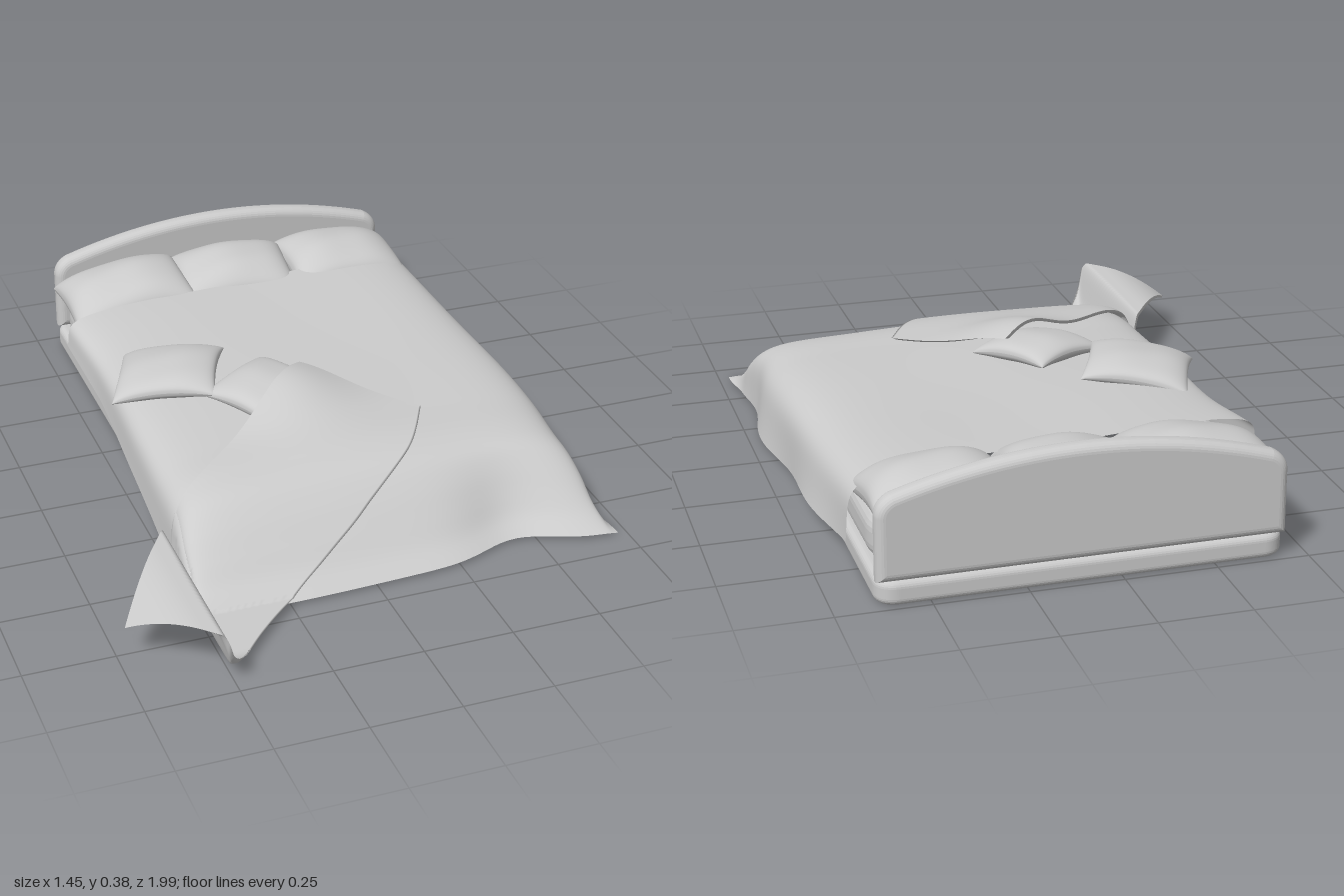
import * as THREE from 'three';

const grey = new THREE.MeshStandardMaterial({ color: 0xcccccc });
const cloth = new THREE.MeshStandardMaterial({ color: 0xcccccc, side: THREE.DoubleSide });
const { smoothstep, lerp } = THREE.MathUtils;

// Grid surface from fn(u, v) -> [x, y, z], u and v in 0..1
function sheet(nu, nv, fn) {
  const geo = new THREE.PlaneGeometry(1, 1, nu, nv);
  const p = geo.attributes.position, uv = geo.attributes.uv;
  for (let i = 0; i < p.count; i++) p.setXYZ(i, ...fn(uv.getX(i), 1 - uv.getY(i)));
  geo.computeVertexNormals();
  return geo;
}

function add(parent, name, geo, mat) {
  const mesh = new THREE.Mesh(geo, mat);
  mesh.name = name;
  parent.add(mesh);
}

// Flat rounded slab with an oval opening, lying between y0 and y1
function slab(x0, x1, z0, z1, y0, y1, r, b, rx, rz) {
  const s = new THREE.Shape();
  const l = x0 + b, R = x1 - b, f = -z1 + b, k = -z0 - b;
  s.moveTo(l + r, f).lineTo(R - r, f).quadraticCurveTo(R, f, R, f + r);
  s.lineTo(R, k - r).quadraticCurveTo(R, k, R - r, k);
  s.lineTo(l + r, k).quadraticCurveTo(l, k, l, k - r);
  s.lineTo(l, f + r).quadraticCurveTo(l, f, l + r, f);
  s.holes.push(new THREE.Path().absellipse(0.1, 0.24, rx, rz, 0, Math.PI * 2, true));
  const geo = new THREE.ExtrudeGeometry(s, {
    depth: y1 - y0 - 2 * b, bevelSize: b, bevelThickness: b, bevelSegments: 6, curveSegments: 32,
  });
  return geo.rotateX(-Math.PI / 2).translate(0, y0 + b, 0);
}

// Blanket sections along z: top height, left hem, right hem, left x, right x
const zs = [-0.7, -0.4, 0, 0.2, 0.36, 0.44, 0.5, 0.56, 0.61, 0.67];
const sections = [
  0.26, 0.16, 0.075, -0.485, 0.655,
  0.25, 0.12, 0.05, -0.465, 0.67,
  0.24, 0.07, 0.018, -0.475, 0.69,
  0.232, 0.04, 0.01, -0.48, 0.69,
  0.223, 0.012, 0.006, -0.485, 0.68,
  0.2, 0.01, 0.006, -0.49, 0.685,
  0.155, 0.01, 0.006, -0.495, 0.69,
  0.095, 0.01, 0.006, -0.495, 0.69,
  0.045, 0.008, 0.006, -0.495, 0.695,
  0.01, 0.006, 0.006, -0.495, 0.695,
];
const spline = new THREE.CubicInterpolant(zs, sections, 5, new Float32Array(5));
const ROUND = 6;
const ripple = (x, z) =>
  0.004 * Math.sin(7 * x + 3 * z) * Math.sin(6 * z - 2 * x) * (1 - smoothstep(z, 0.4, 0.67));
// The foot hem swings forward on one side and tucks in near the other corner
const footSkew = (x, z) => smoothstep(z, 0.35, 0.67)
  * (0.02 * smoothstep(-x, -0.4, 0.25) - 0.065 * Math.exp(-(((x - 0.44) / 0.14) ** 2)));

function blanketPoint(u, v) {
  const z = lerp(-0.7, 0.67, v);
  const [top, hemL, hemR, xl, xr] = spline.evaluate(z);
  const a = Math.PI * (1 - u), c = Math.cos(a), s = Math.max(0, Math.sin(a));
  const m = Math.pow(Math.abs(c) ** ROUND + s ** ROUND, 1 / ROUND);
  const d = c / m, h = s / m;
  const hem = d < 0 ? hemL : hemR;
  // hem flares a little and waves along the sides
  const flare = d < 0 ? -0.006 : 0.018 + 0.01 * Math.sin(11 * z);
  const x = (xl + xr) / 2 + d * (xr - xl) / 2 + flare * (1 - h) ** 2;
  const y = hem + (top - hem) * h + ripple(x, z) * h;
  const headSkew = (0.06 - 0.09 * (x + 0.45)) * (1 - smoothstep(z, -0.7, -0.3));
  return [x, Math.max(0.004, y), z + headSkew + footSkew(x, z)];
}

// Height of the blanket under a point
function blanketHeight(x, zPlan) {
  const z = zPlan - footSkew(x, zPlan);
  if (z > 0.67) return 0.005;
  const [top, hemL, hemR, xl, xr] = spline.evaluate(z);
  const d = (x - (xl + xr) / 2) / ((xr - xl) / 2);
  const h = Math.pow(Math.max(0, 1 - Math.abs(d) ** ROUND), 1 / ROUND);
  const hem = d < 0 ? hemL : hemR;
  return hem + (top - hem) * h + ripple(x, z) * h;
}

// Throw: strip between two plan curves, laid over bed, cushion and floor
const plan = (pts) => new THREE.SplineCurve(pts.map(([x, z]) => new THREE.Vector2(x, z)));
const edgeA = plan([[0.04, -0.04], [-0.16, 0.14], [-0.36, 0.31], [-0.5, 0.42], [-0.58, 0.53], [-0.73, 0.77]]);
const edgeB = plan([[0.31, 0.22], [0.2, 0.4], [0.02, 0.53], [-0.2, 0.66], [-0.37, 0.81], [-0.52, 0.99]]);

function throwPoint(u, v) {
  const p = edgeA.getPoint(v).lerp(edgeB.getPoint(v), u);
  const x = p.x, z = p.y;
  const bump = 0.075 * Math.exp(-((x + 0.04) ** 2 + (z - 0.04) ** 2) / 0.035);
  const lift = 6 * Math.max(0, z - 0.87) ** 2;
  const bed = blanketHeight(x, z) + 0.018 + bump + lift;
  // raised fold beyond the bed's corner, drooping to its outer tip
  const fold = 0.015 + 0.145 * smoothstep(-x, 0.48, 0.535)
    - 0.065 * (Math.max(0, -0.57 - x) / 0.16) ** 2;
  const k = Math.sqrt((bed - fold) ** 2 + 0.0002);
  return [x, (bed + fold + k) / 2, z];
}

// Upper face runs across for u < 0.5, lower face runs back for u > 0.5
function throwShell(u, v) {
  const across = 1 - Math.abs(1 - 2 * u);
  const [x, y, z] = throwPoint(across, v);
  const thick = u > 0.5 && u < 1 ? Math.min(1, v * 40, (1 - v) * 40) : 0;
  return [x - 0.007 * thick, y - 0.011 * thick, z];
}

// Pillow: two bulged sheets meeting at a pinched seam with pointed corners
function pillow(parent, name, w, d, t, pinch, [x, y, z], [rx, ry, rz]) {
  const group = new THREE.Group();
  group.name = name;
  for (const side of [1, -1]) {
    add(group, side > 0 ? 'pillowTop' : 'pillowUnderside', sheet(28, 28, (u, v) => {
      const a = Math.sin((u - 0.5) * Math.PI), b = Math.sin((v - 0.5) * Math.PI);
      const ea = 1 - a * a, eb = 1 - b * b;
      const crease = 1 + 0.05 * Math.sin(4 * a + 3 * b + 7 * x) * Math.sin(3 * b - 2 * a);
      return [
        a * w / 2 * (1 - pinch * eb),
        side * t / 2 * Math.pow(ea * eb, 0.4) * crease - 0.015 * a * a * b * b,
        b * d / 2 * (1 - pinch * ea),
      ];
    }), cloth);
  }
  group.position.set(x, y, z);
  group.rotation.set(rx, ry, rz, 'YXZ');
  parent.add(group);
}

export function createModel() {
  const bed = new THREE.Group();
  bed.name = 'bed';

  // Frame and mattress
  add(bed, 'base', slab(-0.44, 0.64, -0.99, 0.5, 0, 0.068, 0.04, 0.02, 0.49, 0.63), grey);
  add(bed, 'mattress', slab(-0.43, 0.63, -0.93, 0.37, 0.066, 0.2, 0.06, 0.05, 0.45, 0.5), grey);

  // Arched headboard with rounded edges
  const b = 0.025;
  const arch = new THREE.Shape();
  arch.moveTo(-0.44 + b, 0.066 + b).lineTo(0.64 - b, 0.066 + b).lineTo(0.64 - b, 0.24);
  arch.quadraticCurveTo(0.64 - b, 0.262, 0.59, 0.275);
  arch.quadraticCurveTo(0.1, 0.427, -0.39, 0.275);
  arch.quadraticCurveTo(-0.44 + b, 0.262, -0.44 + b, 0.24);
  const board = new THREE.ExtrudeGeometry(arch, {
    depth: 0.01, bevelSize: b, bevelThickness: b, bevelSegments: 6, curveSegments: 28,
  });
  add(bed, 'headboard', board.translate(0, 0, -0.995 + b), grey);

  // Bedding
  add(bed, 'blanket', sheet(96, 90, blanketPoint), cloth);
  add(bed, 'throwBlanket', sheet(140, 120, throwShell), cloth);

  // Sleeping pillows along the headboard
  pillow(bed, 'leftPillow', 0.37, 0.28, 0.15, 0.04, [0.45, 0.235, -0.79], [0.1, 0.03, -0.07]);
  pillow(bed, 'middlePillow', 0.37, 0.27, 0.15, 0.05, [0.09, 0.24, -0.79], [0.15, -0.08, 0.03]);
  pillow(bed, 'rightPillow', 0.39, 0.28, 0.15, 0.04, [-0.26, 0.235, -0.79], [0.1, 0.02, 0.12]);

  // Loose cushions, one tucked under the throw
  pillow(bed, 'looseCushion', 0.3, 0.29, 0.085, 0.06, [-0.305, 0.26, -0.205], [0, -0.4, 0.12]);
  pillow(bed, 'tuckedCushion', 0.26, 0.27, 0.08, 0.06, [-0.07, 0.265, 0.005], [0.08, 0.55, 0.05]);

  return bed;
}
